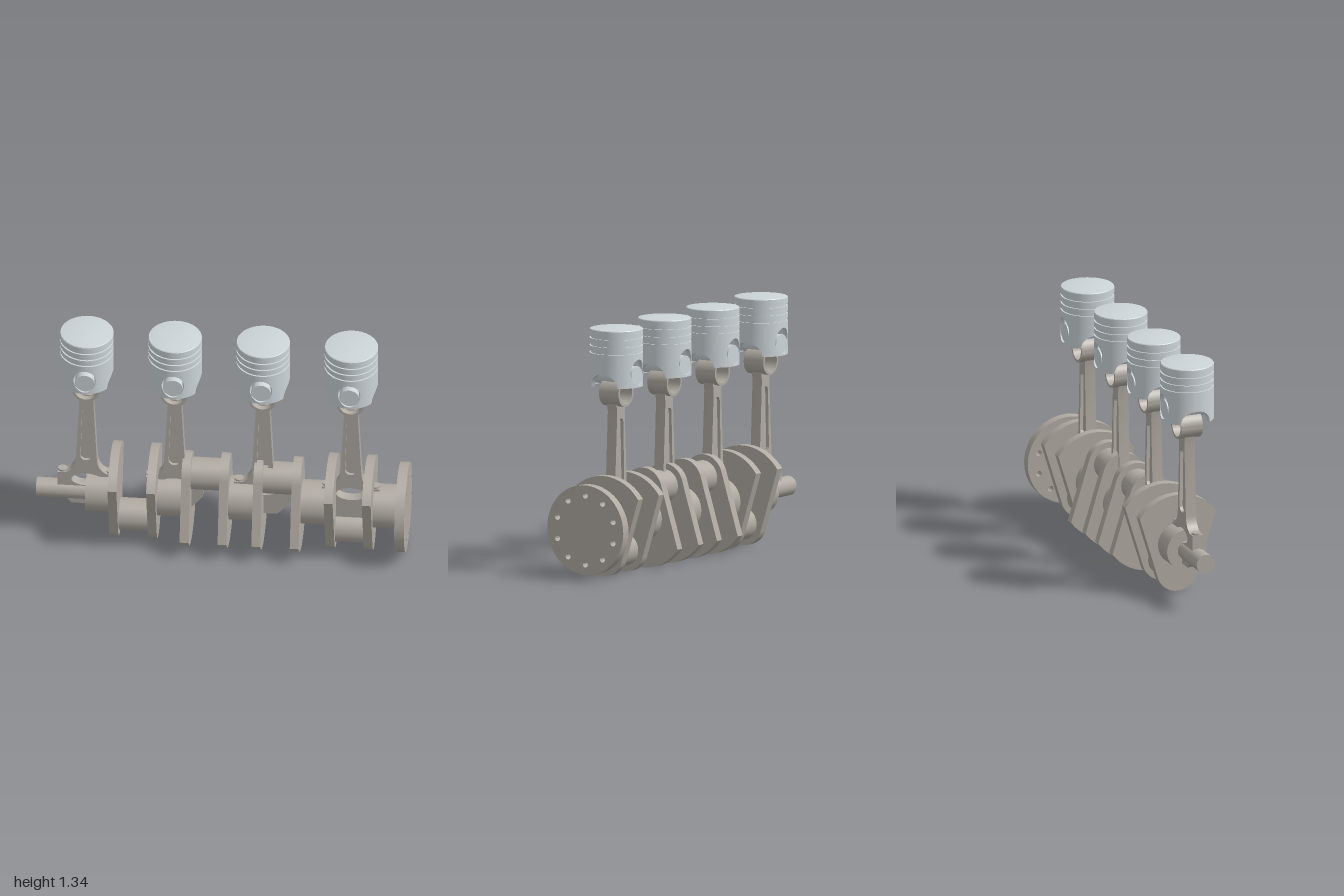
import * as THREE from 'three';
import { toCreasedNormals } from 'three/addons/utils/BufferGeometryUtils.js';

const steel = new THREE.MeshStandardMaterial({ color: 0xb0aaa2 });
const alloy = new THREE.MeshStandardMaterial({ color: 0xccd4d8 });
const AXIS = 0.272, THROW = 0.15;

function add(parent, name, geometry, material, x = 0, y = 0, z = 0) {
  const mesh = new THREE.Mesh(geometry, material);
  mesh.name = name;
  mesh.position.set(x, y, z);
  parent.add(mesh);
  return mesh;
}

// Plate of the given thickness, centred on its own mid plane
function plate(shape, depth) {
  const g = new THREE.ExtrudeGeometry(shape, { depth, bevelEnabled: false, curveSegments: 32 });
  g.translate(0, 0, -depth / 2);
  return toCreasedNormals(g, 0.5);
}

function circle(r, x = 0, y = 0, Type = THREE.Shape) {
  return new Type().absarc(x, y, r, 0, Math.PI * 2, false);
}

// Cylinder lying along x from x0 to x1
function shaft(parent, name, x0, x1, r, y) {
  const g = new THREE.CylinderGeometry(r, r, x1 - x0, 48).rotateZ(Math.PI / 2);
  add(parent, name, g, steel, (x0 + x1) / 2, y);
}

// Curved wall between two angles, with lower and upper edges given by rules
function bentWall(a0, a1, n, lo, hi, rIn, rOut) {
  const pos = [], index = [];
  for (let i = 0; i <= n; i++) {
    const a = (a0 + a1) / 2 - (a1 - a0) / 2 * Math.cos(Math.PI * i / n);
    for (const [r, y] of [[rOut, lo(a)], [rOut, hi(a)], [rIn, hi(a)], [rIn, lo(a)]])
      pos.push(r * Math.sin(a), y, r * Math.cos(a));
    if (i === n) break;
    for (let k = 0; k < 4; k++) {
      const p = i * 4 + k, q = i * 4 + (k + 1) % 4;
      index.push(p, p + 4, q + 4, p, q + 4, q);
    }
  }
  const g = new THREE.BufferGeometry();
  g.setAttribute('position', new THREE.Float32BufferAttribute(pos, 3));
  g.setIndex(index);
  return toCreasedNormals(g, 0.6);
}

function createPiston() {
  const piston = new THREE.Group();
  piston.name = 'piston';
  const R = 0.144, IN = 0.122, BOTTOM = 1.02, JOIN = 1.195;

  // Domed crown with three ring grooves
  const profile = [[0, JOIN], [R, JOIN]];
  for (const y of [1.203, 1.242, 1.283])
    profile.push([R, y], [0.135, y], [0.135, y + 0.012], [R, y + 0.012]);
  profile.push([R, 1.328], [0.141, 1.332], [0.1, 1.338], [0.05, 1.342], [0, 1.343]);
  const lathe = new THREE.LatheGeometry(profile.map(p => new THREE.Vector2(...p)), 64);
  add(piston, 'crown', toCreasedNormals(lathe, 0.5), alloy);

  // Skirt: pin holes front and back, arches cut into the sides
  const ha = Math.asin(0.06 / R), PINY = 1.1;
  for (const turn of [0, Math.PI]) {
    const half = a => 0.07 * Math.sqrt(Math.max(0, 1 - (Math.sin(a) / Math.sin(ha)) ** 2));
    const arch = a => {
      const t = Math.cos(a) / 0.59;
      return BOTTOM + 0.075 * Math.sqrt(Math.max(0, 1 - t * t));
    };
    const walls = [
      ['skirtAbovePin', bentWall(-ha, ha, 32, a => PINY + half(a), () => JOIN, IN, R)],
      ['skirtBelowPin', bentWall(-ha, ha, 32, () => BOTTOM, a => PINY - half(a), IN, R)],
      ['skirtSide', bentWall(ha, Math.PI - ha, 64, arch, () => JOIN, IN, R)],
    ];
    for (const [name, g] of walls) add(piston, name, g, alloy).rotation.y = turn;
  }

  const pin = new THREE.CylinderGeometry(0.054, 0.054, 0.264, 40).rotateX(Math.PI / 2);
  add(piston, 'wristPin', pin, alloy, 0, 1.08);
  return piston;
}

function createRod() {
  const rod = new THREE.Group();
  rod.name = 'connectingRod';

  // Small end
  const eye = circle(0.074);
  eye.holes.push(circle(0.06, 0, 0, THREE.Path));
  add(rod, 'smallEnd', plate(eye, 0.125), steel, 0, 0.982);

  // Shank: frame around a slot, closed by a thin web
  const outline = [[-0.062, 0.44], [0.062, 0.44], [0.055, 0.52], [0.037, 0.88], [0.045, 0.93], [-0.045, 0.93], [-0.037, 0.88], [-0.055, 0.52]];
  const frame = new THREE.Shape(outline.map(p => new THREE.Vector2(...p)));
  const slot = new THREE.Path();
  slot.absarc(0, 0.82, 0.023, 0, Math.PI, false);
  slot.absarc(0, 0.52, 0.032, Math.PI, Math.PI * 2, false);
  slot.closePath();
  frame.holes.push(slot);
  add(rod, 'shank', plate(frame, 0.06), steel);
  add(rod, 'shankWeb', new THREE.BoxGeometry(0.064, 0.37, 0.024), steel, 0, 0.665);

  // Big end: flared yoke and cap around a lens-shaped bore
  const end = new THREE.Shape();
  end.moveTo(-0.08, 0.2);
  end.lineTo(0.08, 0.2);
  end.lineTo(0.155, 0.29);
  end.lineTo(0.155, 0.4);
  end.lineTo(0.115, 0.4);
  end.quadraticCurveTo(0.062, 0.42, 0.057, 0.49);
  end.lineTo(-0.057, 0.49);
  end.quadraticCurveTo(-0.062, 0.42, -0.115, 0.4);
  end.lineTo(-0.155, 0.4);
  end.lineTo(-0.155, 0.29);
  end.closePath();
  end.holes.push(new THREE.Path().absellipse(0, 0.36, 0.08, 0.04, 0, Math.PI * 2, false, 0));
  end.holes[0].closePath();
  add(rod, 'bigEnd', plate(end, 0.06), steel);
  for (const s of [-1, 1])
    add(rod, 'capBolt', new THREE.CylinderGeometry(0.025, 0.025, 0.11, 20), steel, s * 0.13, 0.355);
  return rod;
}

function createCrankshaft() {
  const crank = new THREE.Group();
  crank.name = 'crankshaft';
  const webs = [-0.575, -0.367, -0.187, 0.018, 0.2, 0.407, 0.59, 0.795];
  const T = 0.048;

  // Web: counterweight arc tapering to a round pin end
  const web = new THREE.Shape();
  const c = 0.623, t = 0.296;
  web.absarc(0, 0, 0.271, c, Math.PI - c, false);
  web.absarc(0, -THROW, 0.12, Math.PI + t, Math.PI * 2 - t, false);
  web.closePath();
  const webGeo = plate(web, T).rotateY(Math.PI / 2);
  webs.forEach((x, i) => {
    const up = i >= 2 && i <= 5;
    const mesh = add(crank, 'counterweightWeb', webGeo, steel, x, AXIS);
    if (up) mesh.rotation.x = Math.PI;
    // Crankpins join pairs of webs, main journals fill the other gaps
    if (i % 2 === 0) shaft(crank, 'crankpin', x, webs[i + 1], 0.088, AXIS + (up ? THROW : -THROW));
    else shaft(crank, 'mainJournal', x, webs[i + 1] ?? 0.96, 0.12, AXIS);
  });
  shaft(crank, 'frontJournal', -0.73, webs[0], 0.115, AXIS);
  shaft(crank, 'snout', -1, -0.7, 0.053, AXIS);

  // Flange with ten bolt holes
  const flange = circle(0.243);
  for (let i = 0; i < 10; i++) {
    const a = Math.PI / 2 + i * Math.PI / 5;
    flange.holes.push(circle(0.016, 0.187 * Math.cos(a), 0.187 * Math.sin(a), THREE.Path));
  }
  add(crank, 'flywheelFlange', plate(flange, 0.052).rotateY(Math.PI / 2), steel, 0.974, AXIS);
  return crank;
}

export function createModel() {
  const model = new THREE.Group();
  model.name = 'crankAndPistons';
  model.add(createCrankshaft());
  for (const x of [-0.73, -0.255, 0.22, 0.695]) {
    const cylinder = new THREE.Group();
    cylinder.name = 'pistonAndRod';
    cylinder.add(createPiston(), createRod());
    cylinder.position.x = x;
    model.add(cylinder);
  }
  return model;
}
